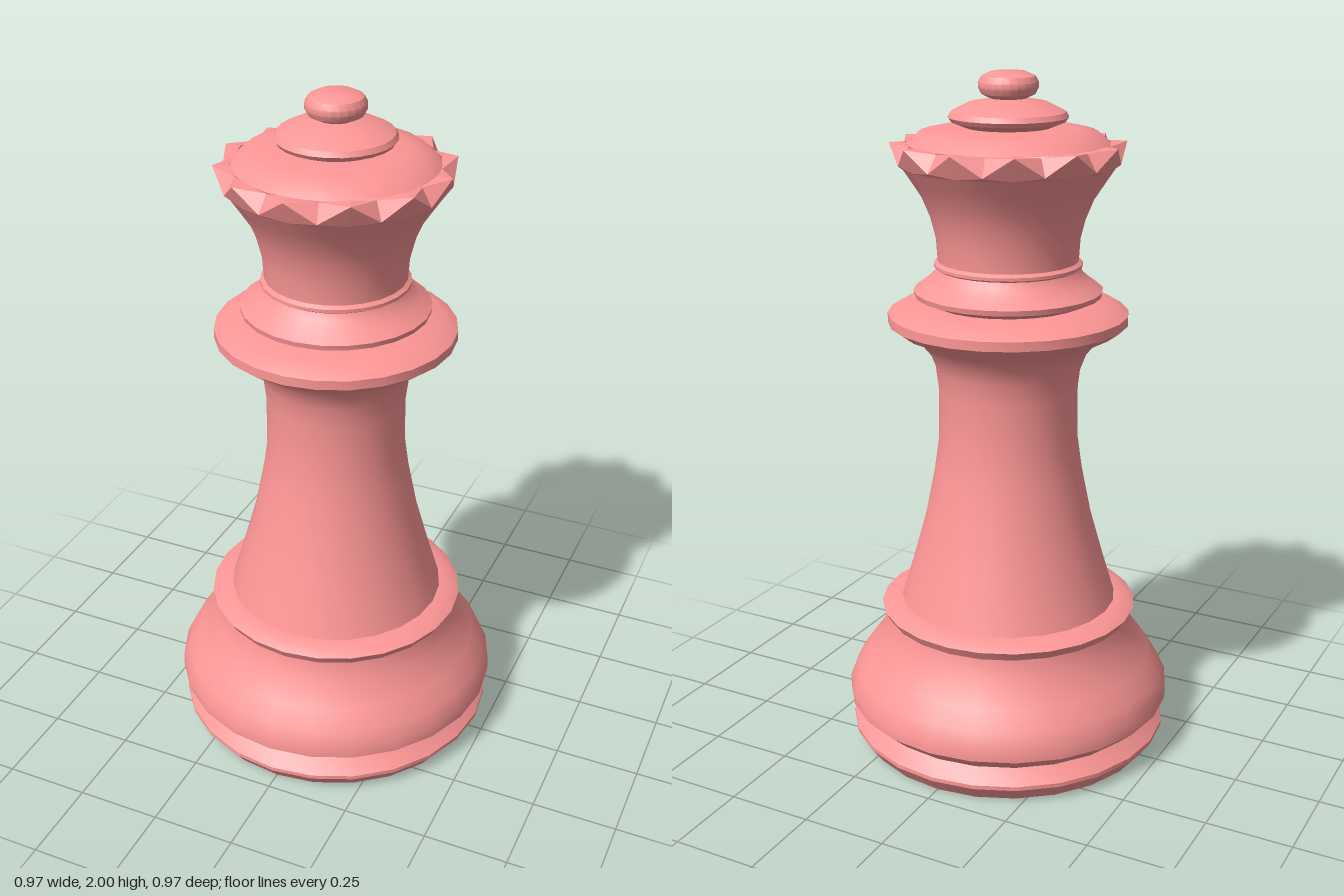
import * as THREE from 'three';
import { toCreasedNormals } from 'three/addons/utils/BufferGeometryUtils.js';

const SIDES = 24;

const material = new THREE.MeshStandardMaterial({ color: 0xff9797, side: THREE.DoubleSide });

// Turned part from [radius, height] pairs, listed bottom to top
function turned(name, profile) {
  const points = profile.map(([r, y]) => new THREE.Vector2(r, y));
  const lathe = new THREE.LatheGeometry(points, SIDES);
  const mesh = new THREE.Mesh(toCreasedNormals(lathe, Math.PI / 6), material);
  mesh.name = name;
  return mesh;
}

// Ring of twelve pointed teeth: every second section is a tip, the others are notches
function crownTeeth() {
  const section = (i) => {
    const a = (i / SIDES) * Math.PI * 2;
    const rim = i % 2 === 0 ? [0.331, 1.81] : [0.316, 1.755];
    const inner = i % 2 === 0 ? [0.286, 1.81] : [0.284, 1.803];
    return [[0.302, 1.745], rim, inner].map(
      ([r, y]) => [Math.sin(a) * r, y, Math.cos(a) * r]);
  };
  const positions = [];
  for (let i = 0; i < SIDES; i++) {
    const p = section(i), q = section(i + 1);
    for (let k = 0; k < 2; k++) {
      // The fold always runs from the tip to the inner end of the notch
      const tris = i % 2 === 0
        ? [p[k], q[k], q[k + 1], p[k], q[k + 1], p[k + 1]]
        : [p[k], q[k], p[k + 1], q[k], q[k + 1], p[k + 1]];
      positions.push(...tris.flat());
    }
  }
  const geometry = new THREE.BufferGeometry();
  geometry.setAttribute('position', new THREE.Float32BufferAttribute(positions, 3));
  geometry.computeVertexNormals();
  const mesh = new THREE.Mesh(geometry, material);
  mesh.name = 'crownTeeth';
  return mesh;
}

export function createModel() {
  const group = new THREE.Group();
  group.name = 'chessQueen';
  group.add(
    // Foot ring and the bell-shaped base with its ledge
    turned('foot', [[0, 0], [0.445, 0], [0.478, 0.045], [0.478, 0.057], [0.44, 0.097]]),
    turned('base', [
      [0.44, 0.097], [0.487, 0.14], [0.487, 0.175], [0.466, 0.22], [0.43, 0.272],
      [0.38, 0.34], [0.368, 0.4], [0.383, 0.427], [0.355, 0.444], [0.322, 0.448],
    ]),
    // Waisted column
    turned('column', [
      [0.322, 0.448], [0.285, 0.57], [0.246, 0.71], [0.218, 0.85], [0.204, 0.95],
      [0.203, 1.1], [0.211, 1.165], [0.228, 1.21], [0.255, 1.243], [0.29, 1.268],
    ]),
    // Wide collar and the smaller ring above it
    turned('collar', [
      [0.29, 1.268], [0.312, 1.275], [0.346, 1.3], [0.346, 1.327], [0.305, 1.352], [0.22, 1.358],
    ]),
    turned('neckRing', [
      [0.22, 1.358], [0.268, 1.378], [0.271, 1.393], [0.238, 1.417], [0.213, 1.44], [0.204, 1.456],
      [0.212, 1.461], [0.212, 1.47], [0.201, 1.478],
    ]),
    // Flaring crown, toothed rim and cap
    turned('crown', [
      [0.201, 1.478], [0.205, 1.54], [0.22, 1.6], [0.243, 1.656], [0.275, 1.705], [0.302, 1.745],
    ]),
    crownTeeth(),
    turned('crownCap', [[0.285, 1.807], [0.25, 1.837], [0.2, 1.848], [0.12, 1.85]]),
    // Disc and knob on top
    turned('topDisc', [
      [0.12, 1.85], [0.16, 1.866], [0.168, 1.878], [0.16, 1.892], [0.11, 1.917], [0.05, 1.928],
    ]),
    turned('knob', [
      [0.05, 1.928], [0.075, 1.94], [0.084, 1.957], [0.084, 1.972], [0.075, 1.988], [0.05, 2], [0, 2],
    ]),
  );
  return group;
}
